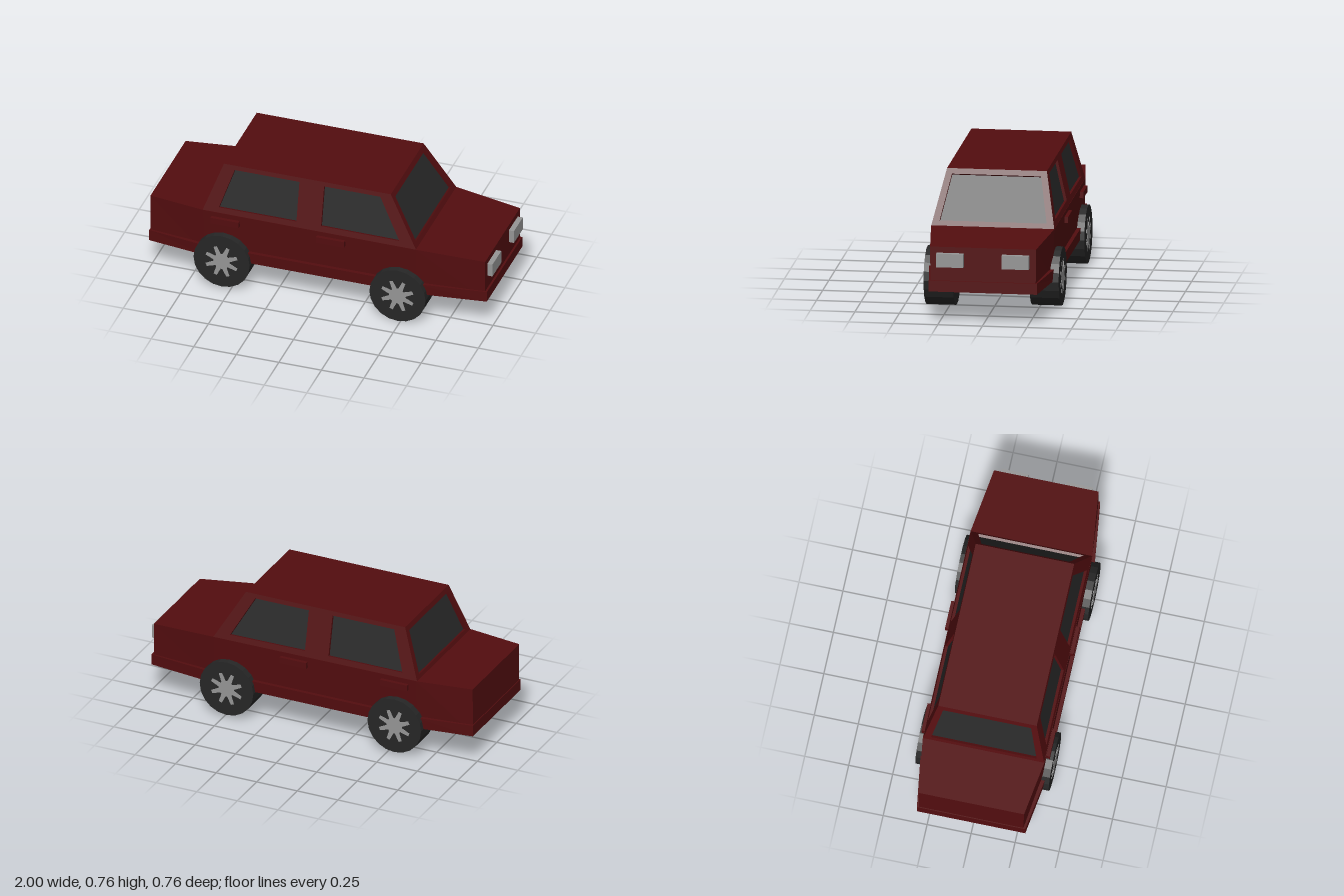
import * as THREE from 'three';

const mat = (name, color) => {
  const m = new THREE.MeshStandardMaterial({ color });
  m.name = name;
  return m;
};

export function createModel() {
  const paint = mat('dark red paint', 0x530d0f);
  const glassMat = mat('dark glass', 0x282828);
  const rubber = mat('tyre rubber', 0x262626);
  const silver = mat('silver grey', 0x969696);

  const car = new THREE.Group();
  car.name = 'car';

  const add = (name, geometry, material, parent = car) => {
    const mesh = new THREE.Mesh(geometry, material);
    mesh.name = name;
    parent.add(mesh);
    return mesh;
  };
  const flat = (g) => {
    const out = g.index ? g.toNonIndexed() : g;
    out.computeVertexNormals();
    return out;
  };

  // Lofts rectangular sections [x, yBottom, yTop, halfWidthBottom, halfWidthTop] along x
  const loft = (sections) => {
    const pos = [], idx = [];
    for (const [x, y0, y1, w0, w1] of sections)
      pos.push(x, y0, w0, x, y0, -w0, x, y1, -w1, x, y1, w1);
    const quad = (a, b, c, d) => idx.push(a, b, c, a, c, d);
    const last = (sections.length - 1) * 4;
    for (let s = 0; s < last; s += 4)
      for (let k = 0; k < 4; k++) {
        const n = (k + 1) % 4;
        quad(s + k, s + n, s + 4 + n, s + 4 + k);
      }
    quad(3, 2, 1, 0);
    quad(last, last + 1, last + 2, last + 3);
    const g = new THREE.BufferGeometry();
    g.setAttribute('position', new THREE.Float32BufferAttribute(pos, 3));
    g.setIndex(idx);
    return flat(g);
  };

  // Lower body with tapered nose and tail, and the slightly proud sill and bumper band
  add('lowerBody', loft([
    [-0.995, 0.19, 0.475, 0.295, 0.3],
    [-0.67, 0.19, 0.475, 0.333, 0.346],
    [0.58, 0.19, 0.47, 0.333, 0.346],
    [0.97, 0.19, 0.44, 0.295, 0.297],
  ]), paint);
  add('sillAndBumpers', loft([
    [-1.0, 0.186, 0.252, 0.308, 0.308],
    [-0.67, 0.186, 0.252, 0.354, 0.357],
    [0.58, 0.186, 0.252, 0.354, 0.357],
    [0.982, 0.186, 0.248, 0.303, 0.303],
  ]), paint);

  // Cabin panel: a sloped frame with recessed glass. Corners run counterclockwise from
  // bottom left as seen from outside; window points are [world distance along base, height].
  const V = (x, y, z) => new THREE.Vector3(x, y, z);
  const panel = (name, [bl, br, tr, tl], windows) => {
    const depth = 0.02;
    const X = br.clone().sub(bl).normalize();
    const N = X.clone().cross(tl.clone().sub(bl)).normalize();
    const Y = N.clone().cross(X);
    const origin = bl.clone().addScaledVector(X, -bl.dot(X));
    const toLocal = (u, y) => new THREE.Vector2(u, (y - bl.y) / Y.y);
    const shape = new THREE.Shape([bl, br, tr, tl].map((p) => toLocal(p.dot(X), p.y)));
    const group = new THREE.Group();
    group.name = name;
    for (const w of windows) {
      const pts = w.map(([u, y]) => toLocal(u, y));
      shape.holes.push(new THREE.Path(pts));
      add('windowGlass', new THREE.ShapeGeometry(new THREE.Shape(pts)), glassMat, group)
        .position.z = 0.004;
    }
    add('windowFrame', new THREE.ExtrudeGeometry(shape, { depth, bevelEnabled: false }), paint, group);
    group.applyMatrix4(new THREE.Matrix4().makeBasis(X, Y, N)
      .setPosition(origin.addScaledVector(N, -depth)));
    car.add(group);
  };

  const yb = 0.47, yt = 0.76, wb = 0.345, wt = 0.28;
  const base = { front: 0.58, rear: -0.675 };
  const roof = { front: 0.41, rear: -0.57 };
  const sideWindows = [
    [[-0.58, 0.505], [-0.125, 0.505], [-0.125, 0.735], [-0.505, 0.735]],
    [[0.02, 0.505], [0.48, 0.502], [0.35, 0.735], [0.02, 0.735]],
  ];
  const endWindow = [[[-0.3, 0.496], [0.3, 0.496], [0.25, 0.732], [-0.25, 0.732]]];

  panel('leftSide', [V(base.rear, yb, wb), V(base.front, yb, wb),
    V(roof.front, yt, wt), V(roof.rear, yt, wt)], sideWindows);
  panel('rightSide', [V(base.front, yb, -wb), V(base.rear, yb, -wb),
    V(roof.rear, yt, -wt), V(roof.front, yt, -wt)],
    sideWindows.map((w) => w.map(([u, y]) => [-u, y])));
  panel('windscreen', [V(base.front, yb, wb), V(base.front, yb, -wb),
    V(roof.front, yt, -wt), V(roof.front, yt, wt)], endWindow);
  panel('rearScreen', [V(base.rear, yb, -wb), V(base.rear, yb, wb),
    V(roof.rear, yt, wt), V(roof.rear, yt, -wt)], endWindow);
  add('roof', loft([
    [roof.rear, yt - 0.012, yt, wt, wt],
    [roof.front, yt - 0.012, yt, wt, wt],
  ]), paint);

  // Door handles and headlights
  for (const side of [1, -1]) {
    for (const x of [-0.538, 0.082])
      add('doorHandle', new THREE.BoxGeometry(0.165, 0.036, 0.03), paint)
        .position.set(x, 0.427, side * 0.35);
    add('headlight', new THREE.BoxGeometry(0.035, 0.077, 0.152), silver)
      .position.set(0.9825, 0.368, side * 0.184);
  }

  // Star-shaped wheel trim
  const star = [];
  const spokes = 8;
  for (let i = 0; i < spokes; i++) {
    const a = ((i + 0.5) / spokes) * Math.PI * 2;
    for (const [r, d] of [[0.048, -0.3], [0.098, -0.1], [0.098, 0.1], [0.048, 0.3]])
      star.push(new THREE.Vector2(Math.cos(a + d) * r, Math.sin(a + d) * r));
  }
  const trimGeo = new THREE.ExtrudeGeometry(new THREE.Shape(star), { depth: 0.004, bevelEnabled: false });
  const tyreGeo = flat(new THREE.CylinderGeometry(0.165, 0.165, 0.165, 20).rotateX(Math.PI / 2));

  // Wheels: [x, y, side]
  for (const [x, y, side] of [[0.483, 0.167, 1], [0.483, 0.182, -1], [-0.55, 0.181, 1], [-0.55, 0.184, -1]]) {
    const wheel = new THREE.Group();
    wheel.name = (x > 0 ? 'front' : 'rear') + (side > 0 ? 'RightWheel' : 'LeftWheel');
    add('tyre', tyreGeo, rubber, wheel);
    add('wheelTrim', trimGeo, silver, wheel).position.z = 0.0805;
    wheel.position.set(x, y, side * 0.2965);
    if (side < 0) wheel.rotation.y = Math.PI;
    car.add(wheel);
  }

  return car;
}
